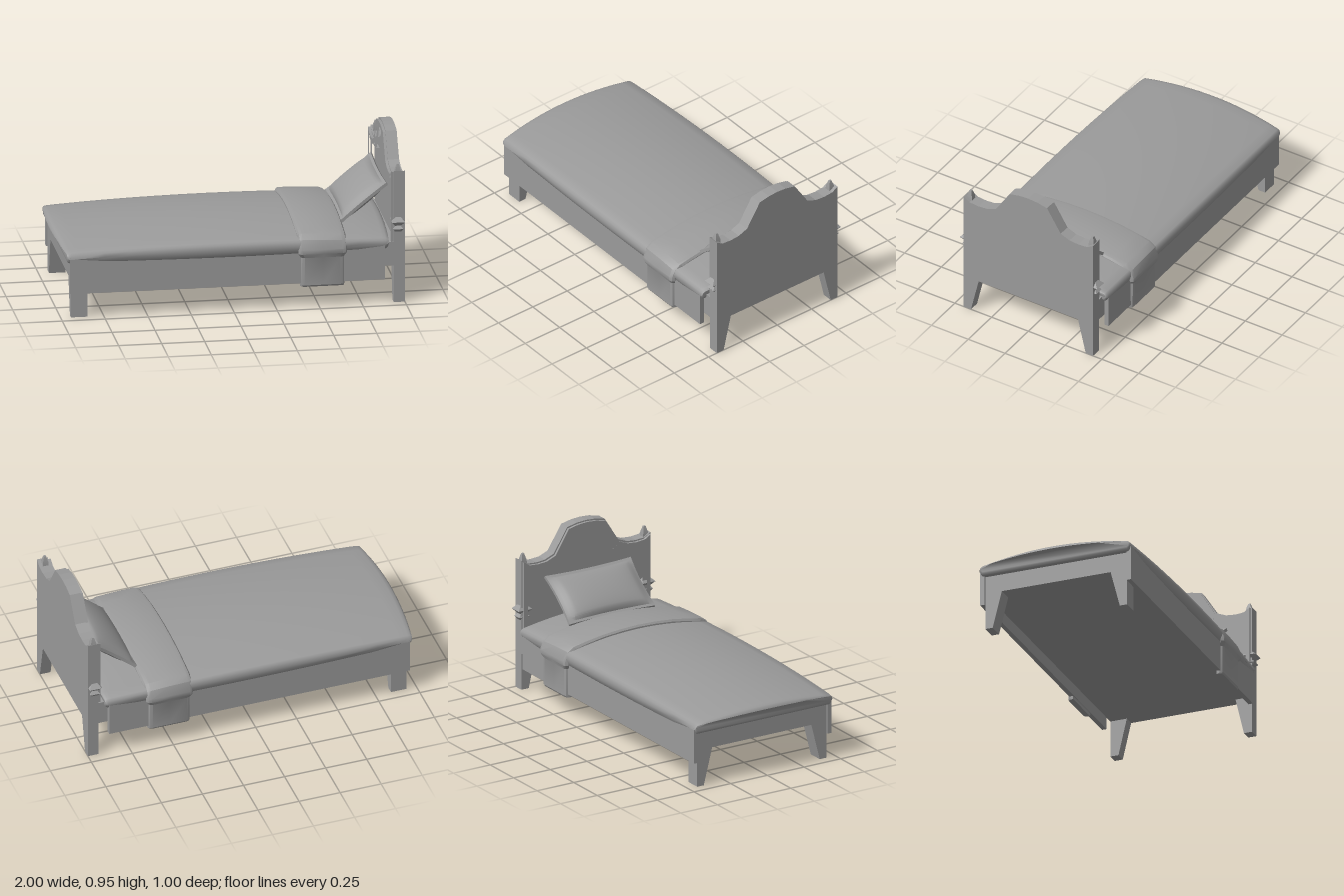
import * as THREE from 'three';
import { toCreasedNormals } from 'three/addons/utils/BufferGeometryUtils.js';

const material = new THREE.MeshStandardMaterial({ color: 0x9b9b9b });

function part(name, geometry, x = 0, y = 0, z = 0) {
  const mesh = new THREE.Mesh(geometry, material);
  mesh.name = name;
  mesh.position.set(x, y, z);
  return mesh;
}

// Complete a half outline of [z, y] points running from the top centre downwards
function mirrored(half) {
  const other = half.filter(([z]) => z > 0).map(([z, y]) => [-z, y]).reverse();
  return [...half, ...other];
}

// Skin a series of closed rings of [x, y, z] points that advance along +x
function loft(rings, crease) {
  const n = rings[0].length, index = [];
  for (let i = 0; i < rings.length - 1; i++) {
    for (let j = 0; j < n; j++) {
      const a = i * n + j, b = i * n + (j + 1) % n;
      index.push(a, b, a + n, b, b + n, a + n);
    }
  }
  const cap = (ring) => THREE.ShapeUtils.triangulateShape(ring.map((p) => new THREE.Vector2(p[2], p[1])), []);
  const last = (rings.length - 1) * n;
  for (const [a, b, c] of cap(rings[0])) index.push(a, b, c);
  for (const [a, b, c] of cap(rings[rings.length - 1])) index.push(last + a, last + c, last + b);
  const geometry = new THREE.BufferGeometry();
  geometry.setAttribute('position', new THREE.Float32BufferAttribute(rings.flat(2), 3));
  geometry.setIndex(index);
  return toCreasedNormals(geometry, crease);
}

// Extrude a [z, y] outline along x, with an optional hole
function slab(outline, x0, x1, hole) {
  const points = (list) => list.map(([z, y]) => new THREE.Vector2(z, y));
  const shape = new THREE.Shape(points(outline));
  if (hole) shape.holes.push(new THREE.Path(points(hole)));
  return new THREE.ExtrudeGeometry(shape, { depth: x1 - x0, bevelEnabled: false })
    .rotateY(Math.PI / 2).translate(x0, 0, 0);
}

// Scalloped headboard top, moved inwards by d
function crest(d) {
  const top = [[0, 0.953], [0.06, 0.949], [0.127, 0.935], [0.22, 0.79], [0.28, 0.766], [0.34, 0.761], [0.4, 0.766], [0.44, 0.79]];
  return top.map(([z, y]) => [z * (1 - d / 0.44), y - d]);
}

// Square turned piece: profile of [half width, y], turned about a vertical axis
function squareTurning(profile) {
  const points = profile.map(([r, y]) => new THREE.Vector2(r * Math.SQRT2, y));
  return toCreasedNormals(new THREE.LatheGeometry(points, 4, Math.PI / 4), 0.3);
}

function createHeadboard() {
  const group = new THREE.Group();
  group.name = 'headboard';
  const legs = [[0.44, 0], [0.39, 0], [0.338, 0.222]];
  const board = mirrored([...crest(0), ...legs]);
  const opening = (d) => mirrored([...crest(d), [0.44 - d, 0.3]]);
  group.add(part('backPanel', slab(board, 0.96, 1)));
  group.add(part('frontFrame', slab(board, 0.935, 0.96, opening(0.055))));
  group.add(part('frameMoulding', slab(mirrored([...crest(0.008), [0.432, 0.23]]), 0.92, 0.935, opening(0.035))));

  for (const side of [1, -1]) {
    // Pointed beads around each post, and a blunt finial on top
    const bead = squareTurning([[0.01, 0.425], [0.022, 0.425], [0.036, 0.443], [0.02, 0.46], [0.047, 0.487], [0.02, 0.512], [0.01, 0.512]]);
    bead.scale(0.8, 1, 1);
    group.add(part('postBead', bead, 0.96, 0, side * 0.42));
    const finial = squareTurning([[0.019, 0.755], [0.016, 0.79], [0.006, 0.825], [0, 0.825]]);
    group.add(part('finial', finial, 0.962, 0, side * 0.414));
  }
  return group;
}

function createMattress() {
  // Stations along the bed: x, height scale of the rounded ends
  const stations = [[-1, 0.55], [-0.996, 0.75], [-0.985, 0.92], [-0.965, 1]];
  for (let i = 0; i <= 12; i++) stations.push([-0.9 + i * 0.148, 1]);
  stations.push([0.9, 0.92], [0.915, 0.75], [0.92, 0.55]);
  const rings = stations.map(([x, scale]) => {
    const crown = 0.47 - 0.04 * x * x, edge = 0.415 - 0.025 * x * x, w = 0.488 - 0.018 * x * x;
    const half = [];
    for (let k = 0; k <= 8; k++) {
      const t = k / 8;
      half.push([w * 0.965 * t, edge + (crown - edge) * (1 - t * t)]);
    }
    half.push([w * 0.99, edge - 0.012], [w, edge - 0.035], [w * 0.995, 0.36], [w * 0.98, 0.338], [w * 0.96, 0.328]);
    // Ends are rounded over and bowed outwards
    return mirrored(half).map(([z, y]) => [
      x - Math.sign(x) * Math.abs(x) ** 8 * 0.035 * (z / w) ** 2,
      0.38 + (y - 0.38) * scale,
      z * (0.98 + 0.02 * scale),
    ]);
  });
  return part('mattressCover', loft(rings, 0.8));
}

function createFold() {
  const half = [[0, 0.488], [0.12, 0.484], [0.24, 0.474], [0.35, 0.457], [0.44, 0.44], [0.478, 0.412],
    [0.499, 0.355], [0.498, 0.33], [0.485, 0.305], [0.484, 0.14], [0.478, 0.13], [0.445, 0.13], [0.445, 0.33]];
  // Slices: x, inset of the surface, lowering of the top
  const slices = [[0.375, 0.02, 0], [0.384, 0.005, 0], [0.4, 0, 0], [0.52, 0, 0.003], [0.63, 0, 0.01], [0.65, 0.005, 0.012], [0.658, 0.02, 0.012]];
  const rings = slices.map(([x, inset, drop]) => mirrored(half.map(([z, y], i) => {
    if (i > 10) return [z, y];
    return [z - inset * z / 0.486, y > 0.4 ? y - inset * 0.7 - drop : y];
  })).map(([z, y]) => [y < 0.32 ? 0.515 + (x - 0.515) * 0.9 : x, y, z]));
  return part('foldedSheet', loft(rings, 0.5));
}

function createPillow() {
  const geometry = new THREE.BoxGeometry(2, 2, 2, 20, 1, 26);
  const pos = geometry.attributes.position;
  // Puffed centre within a thin flat border, edges drawn in between the corners
  for (let i = 0; i < pos.count; i++) {
    const u = pos.getX(i), s = pos.getY(i), v = pos.getZ(i);
    const puff = Math.sqrt(Math.max(0, 1 - (u / 0.9) ** 2) * Math.max(0, 1 - (v / 0.93) ** 2));
    const thick = 0.009 + 0.046 * puff ** 0.8;
    pos.setXYZ(i, u * 0.17 * (0.95 + 0.05 * v * v), s * thick, v * 0.292 * (0.96 + 0.04 * u * u));
  }
  const mesh = part('pillow', toCreasedNormals(geometry, 0.6), 0.787, 0.561, 0);
  mesh.rotation.z = 0.68;
  return mesh;
}

export function createModel() {
  const model = new THREE.Group();
  model.name = 'bed';

  // Bed base running from the foot to the headboard
  model.add(part('bedBase', new THREE.BoxGeometry(1.885, 0.143, 0.88), 0.0025, 0.2935, 0));

  for (const side of [1, -1]) {
    // Tapered legs at the foot end
    const outline = [[0.44, 0.23], [0.44, 0], [0.395, 0], [0.338, 0.222], [0.338, 0.23]];
    model.add(part('footLeg', slab(outline.map(([z, y]) => [side * z, y]), -0.94, -0.845)));
    // Cover hanging down each long side
    model.add(part('sideDrape', new THREE.BoxGeometry(1.83, 0.215, 0.028), -0.035, 0.2575, side * 0.455));
  }

  model.add(createMattress(), createFold(), createPillow(), createHeadboard());
  return model;
}
